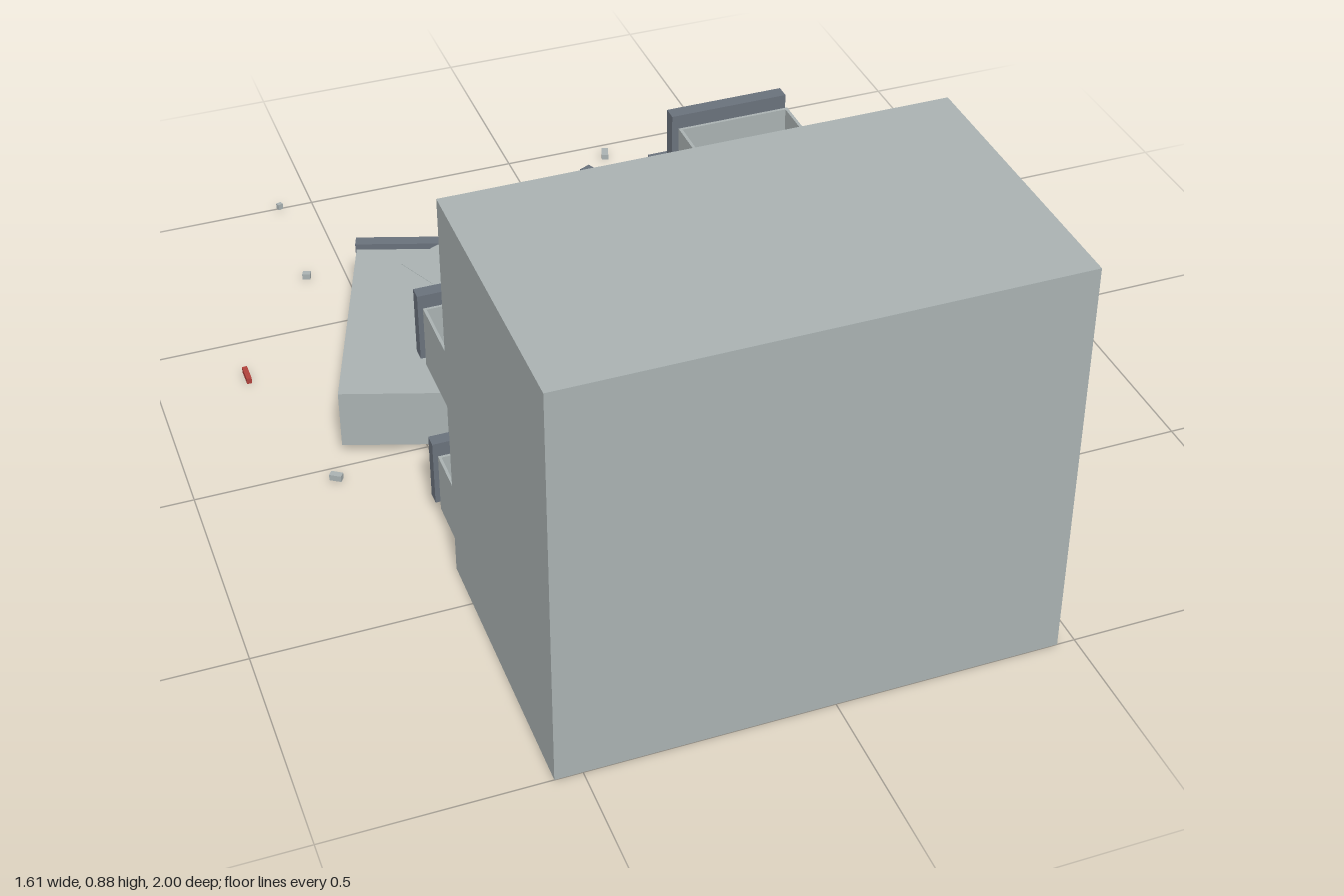
import * as THREE from 'three';

const mat = (name, color) => Object.assign(new THREE.MeshStandardMaterial({ color }), { name });

export function createModel() {
  const steel = mat('body grey', 0xa9b1b1);
  const slate = mat('drawer front slate', 0x69717b);
  const metal = mat('handle grey', 0xa2a7a9);
  const paper = mat('label paper', 0xc9c8c2);
  const red = mat('debris red', 0xb0423c);

  const root = new THREE.Group();
  root.name = 'drawerCabinet';

  const box = (parent, name, m, w, h, d, x, y, z) => {
    const mesh = new THREE.Mesh(new THREE.BoxGeometry(w, h, d), m);
    mesh.name = name;
    mesh.position.set(x, y, z);
    parent.add(mesh);
    return mesh;
  };

  const colX = c => -0.43 + 0.255 * c;
  const rowY = r => 0.772 - 0.165 * r;

  // Carcass: a block pierced by 4 x 5 drawer bays, closed by a back panel
  const X0 = -0.555, X1 = 0.463, H = 0.88;
  const outline = new THREE.Shape();
  outline.moveTo(X0, 0).lineTo(X1, 0).lineTo(X1, H).lineTo(X0, H).closePath();
  for (let r = 0; r < 5; r++) {
    for (let c = 0; c < 4; c++) {
      const x = colX(c), y = rowY(r), w = 0.12, h = 0.0775;
      const bay = new THREE.Path();
      bay.moveTo(x - w, y - h).lineTo(x - w, y + h).lineTo(x + w, y + h).lineTo(x + w, y - h).closePath();
      outline.holes.push(bay);
    }
  }
  const carcass = new THREE.Mesh(
    new THREE.ExtrudeGeometry(outline, { depth: 0.585, bevelEnabled: false }), steel);
  carcass.name = 'carcass';
  carcass.position.z = 0.39;
  root.add(carcass);
  box(root, 'backPanel', steel, X1 - X0, H, 0.025, (X0 + X1) / 2, H / 2, 0.9875);

  // One drawer facing -z, with its origin at the centre of the front plate
  const makeDrawer = name => {
    const g = new THREE.Group();
    g.name = name;
    const W = 0.225, T = 0.135, L = 0.53, t = 0.006, y = -0.0075, z0 = 0.035;
    box(g, 'drawerFront', slate, 0.235, 0.15, 0.028, 0, 0, 0);
    box(g, 'drawerFloor', steel, W, t, L, 0, y - T / 2 + t / 2, z0 + L / 2);
    for (const s of [-1, 1]) {
      box(g, 'drawerSide', steel, t, T, L, s * (W - t) / 2, y, z0 + L / 2);
      box(g, 'drawerEnd', steel, W - 2 * t, T, t, 0, y, z0 + L / 2 + s * (L - t) / 2);
    }
    box(g, 'labelHolder', metal, 0.115, 0.036, 0.01, 0, 0.028, -0.019);
    box(g, 'label', paper, 0.1, 0.024, 0.003, 0, 0.028, -0.0245);
    box(g, 'pull', metal, 0.065, 0.018, 0.032, 0, -0.026, -0.03);
    root.add(g);
    return g;
  };

  // How far each drawer is pulled out; null marks an empty bay
  const pulled = [
    [0, 0, 0.19, 0],
    [0, 0, 0.296, 0],
    [0.24, 0, null, 0],
    [0, 0.128, 0, null],
    [0.19, 0, 0.225, 0.328],
  ];
  pulled.forEach((row, r) => row.forEach((ext, c) => {
    if (ext === null) return;
    makeDrawer('drawer').position.set(colX(c), rowY(r), 0.4 - ext);
  }));

  // Two drawers lying upside down on the floor
  for (const [x, y, z, turn] of [[-0.382, 0.08, -0.54, -0.335], [0.14, 0.081, -0.583, -1.15]]) {
    const d = makeDrawer('fallenDrawer');
    d.position.set(x, y, z);
    d.rotation.set(0, turn, Math.PI);
  }

  // Scattered debris: x, z, width, depth, turn
  const greyBits = [
    [-0.58, -0.99, 0.012, 0.01, 0.4], [0.565, -0.99, 0.014, 0.01, 0.3], [0.23, -0.94, 0.016, 0.032, -0.3],
    [-0.11, -0.845, 0.03, 0.02, 0], [0.525, -0.83, 0.034, 0.022, -0.5], [0.795, -0.6, 0.013, 0.01, -0.4],
    [-0.59, -0.685, 0.018, 0.014, -0.4], [-0.3, -0.68, 0.026, 0.014, 0.3], [0.02, -0.73, 0.018, 0.012, -0.2],
    [-0.71, 0.045, 0.026, 0.014, -0.6], [0.265, -0.265, 0.03, 0.014, -0.1], [0.22, -0.4, 0.02, 0.026, 0],
    [0.185, -0.44, 0.03, 0.016, -0.4], [-0.075, -0.355, 0.022, 0.014, -0.3],
  ];
  const redBits = [
    [0.315, -0.69, 0.018, 0.03, -0.3], [-0.055, -0.645, 0.018, 0.02, 0.1], [-0.805, -0.36, 0.011, 0.046, 0],
    [-0.26, -0.035, 0.026, 0.018, 0.3], [0.235, 0.055, 0.026, 0.014, 0.5], [-0.245, 0.15, 0.012, 0.028, 0.4],
  ];
  for (const [m, bits] of [[steel, greyBits], [red, redBits]]) {
    for (const [x, z, w, d, turn] of bits) {
      box(root, 'debris', m, w, 0.014, d, x, 0.014, z).rotation.y = turn;
    }
  }

  return root;
}
